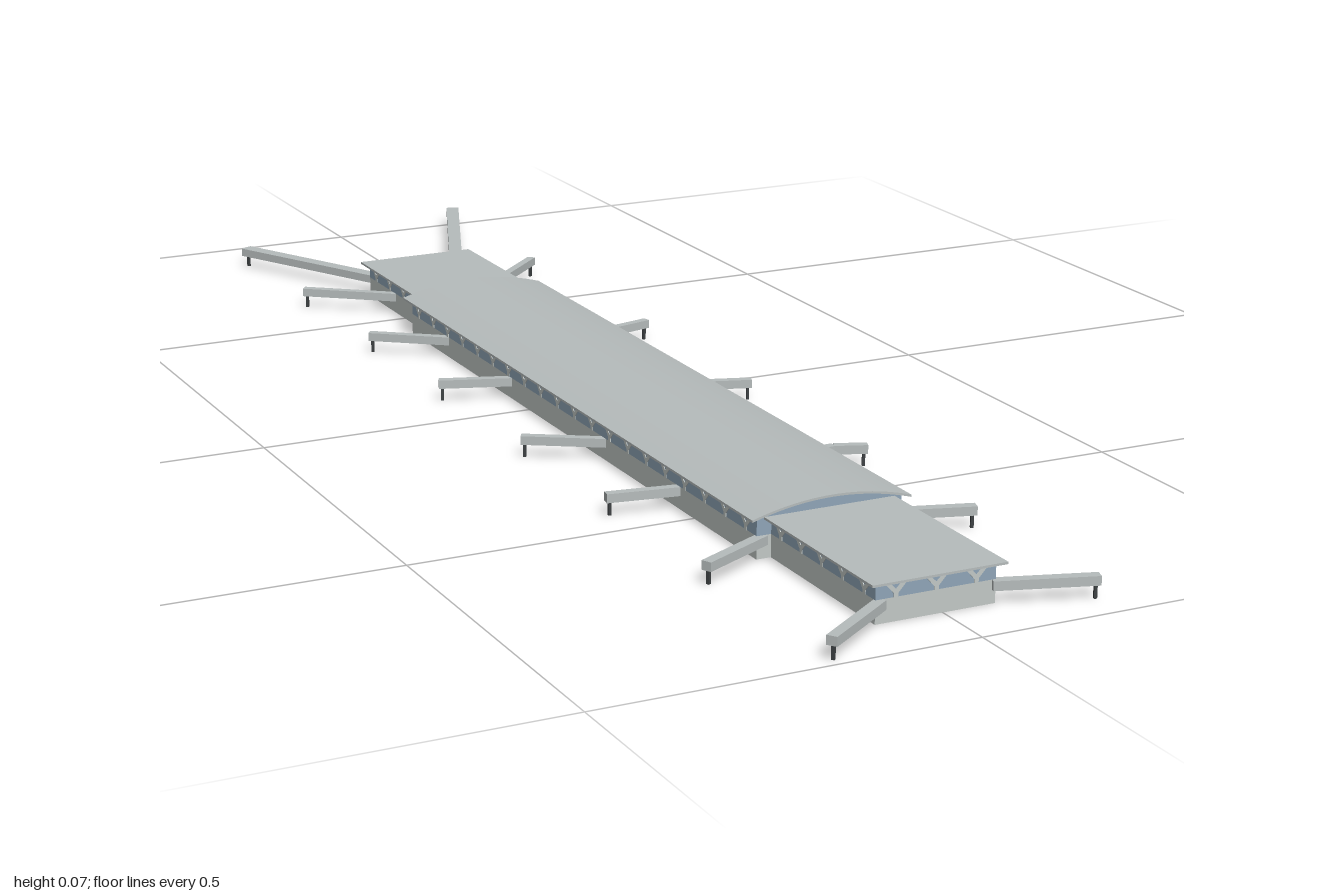
import * as THREE from 'three';

const mat = (name, color) => {
  const m = new THREE.MeshStandardMaterial({ color });
  m.name = name;
  return m;
};

export function createModel() {
  const model = new THREE.Group();
  model.name = 'airportConcourse';
  const roofMat = mat('roofGrey', 0xb6bcbc);
  const wallMat = mat('wallGrey', 0xc2c8c6);
  const glassMat = mat('glassBlue', 0x8fa5b8);
  const legMat = mat('darkSteel', 0x3c4042);

  const CX = -0.01, SILL = 0.03, EAVE = 0.051, T = 0.002;

  const add = (geo, m, name, parent = model) => {
    const mesh = new THREE.Mesh(geo, m);
    mesh.name = name;
    parent.add(mesh);
    return mesh;
  };
  const box = (x0, x1, y0, y1, z0, z1, m, name, parent) =>
    add(new THREE.BoxGeometry(x1 - x0, y1 - y0, z1 - z0)
      .translate((x0 + x1) / 2, (y0 + y1) / 2, (z0 + z1) / 2), m, name, parent);

  // Y-shaped facade strut, standing in the XY plane and centred on x = 0
  const strutShape = new THREE.Shape([
    [-0.003, 0], [0.003, 0], [0.003, 0.005], [0.013, 0.016], [0.013, 0.02], [0.010, 0.02],
    [0, 0.010], [-0.010, 0.02], [-0.013, 0.02], [-0.013, 0.016], [-0.003, 0.005],
  ].map(([x, y]) => new THREE.Vector2(x, y)));
  const strutGeo = new THREE.ExtrudeGeometry(strutShape, { depth: 0.001, bevelEnabled: false });
  const strut = (x, z, angle, parent) => {
    const s = add(strutGeo, wallMat, 'facadeStrut', parent);
    s.position.set(x, SILL, z);
    s.rotation.y = angle;
  };
  const strutRow = (from, to, step, place) => {
    const n = Math.max(1, Math.round((to - from) / step));
    for (let i = 0; i < n; i++) place(from + (i + 0.5) * (to - from) / n);
  };

  // Long walls: solid base with a glass band and struts
  function sideWalls(half, z0, z1, parent) {
    for (const s of [-1, 1]) {
      const a = CX + s * half, b = a - s * T;
      const lo = Math.min(a, b), hi = Math.max(a, b);
      box(lo, hi, 0, SILL, z0, z1, wallMat, 'sideWall', parent);
      box(lo, hi, SILL, EAVE, z0, z1, glassMat, 'sideGlass', parent);
      strutRow(z0, z1, 0.055, z => strut(a, z, s * Math.PI / 2, parent));
    }
  }

  // Barrel roof profile
  const archY = (x, lift) => 0.0675 - 0.0165 * (x / 0.11) ** 2 + lift;
  const arch = (half, lift) => Array.from({ length: 25 }, (_, i) => {
    const x = -half + 2 * half * i / 24;
    return new THREE.Vector2(x, archY(x, lift));
  });

  // Main hall
  const hall = new THREE.Group();
  hall.name = 'mainHall';
  model.add(hall);
  const HZ0 = -0.42, HZ1 = 0.665, HW = 0.101;
  sideWalls(HW, HZ0, HZ1, hall);
  const gable = new THREE.Shape([
    new THREE.Vector2(HW, SILL), ...arch(HW, 0.0005).reverse(), new THREE.Vector2(-HW, SILL),
  ]);
  for (const z of [HZ0, HZ1 - T]) {
    box(CX - HW, CX + HW, 0, SILL, z, z + T, wallMat, 'gableWall', hall);
    add(new THREE.ExtrudeGeometry(gable, { depth: T, bevelEnabled: false }), glassMat, 'gableGlass', hall)
      .position.set(CX, 0, z);
  }
  const roof = new THREE.Shape([...arch(0.111, 0), ...arch(0.111, 0.003).reverse()]);
  add(new THREE.ExtrudeGeometry(roof, { depth: 1.102, bevelEnabled: false }), roofMat, 'barrelRoof', hall)
    .position.set(CX, 0, -0.43);

  // Lower flat-roofed wings at both ends
  function wing(name, z0, z1, dir) {
    const g = new THREE.Group();
    g.name = name;
    model.add(g);
    const W = 0.081, end = dir > 0 ? z1 : z0;
    sideWalls(W, z0, z1, g);
    const e0 = dir > 0 ? end - T : end;
    box(CX - W, CX + W, 0, SILL, e0, e0 + T, wallMat, 'endWall', g);
    box(CX - W, CX + W, SILL, EAVE, e0, e0 + T, glassMat, 'endGlass', g);
    strutRow(CX - W, CX + W, 0.055, x => strut(x, end, dir > 0 ? 0 : Math.PI, g));
    const r0 = dir > 0 ? z0 : z0 - 0.012, r1 = dir > 0 ? z1 + 0.01 : z1;
    box(CX - 0.091, CX + 0.091, 0.050, 0.053, r0, r1, roofMat, 'flatRoof', g);
  }
  wing('frontWing', HZ1, 0.914, 1);
  wing('backWing', -0.64, HZ0, -1);

  // Boarding bridges: [width, x, z, x, z, ...] from the wall outwards
  const bridges = [
    [0.020, -0.07, -0.64, -0.203, -0.897],
    [0.012, -0.088, -0.538, -0.205, -0.628],
    [0.012, -0.108, -0.285, -0.205, -0.358],
    [0.012, -0.108, -0.062, -0.206, -0.095],
    [0.012, -0.108, 0.242, -0.205, 0.182],
    [0.012, -0.108, 0.457, -0.206, 0.442],
    [0.014, -0.10, 0.662, -0.206, 0.716],
    [0.014, -0.083, 0.913, -0.190, 0.988],
    [0.020, 0.055, -0.64, 0.200, -0.995],
    [0.012, 0.070, -0.535, 0.186, -0.643],
    [0.012, 0.088, -0.219, 0.192, -0.243],
    [0.012, 0.088, 0.057, 0.190, 0.090],
    [0.012, 0.088, 0.397, 0.148, 0.397, 0.190, 0.413],
    [0.014, 0.088, 0.650, 0.190, 0.681],
    [0.014, 0.066, 0.914, 0.190, 0.953],
  ];
  for (const [w, ...p] of bridges) {
    const g = new THREE.Group();
    g.name = 'boardingBridge';
    model.add(g);
    for (let i = 0; i + 3 < p.length; i += 2) {
      const dx = p[i + 2] - p[i], dz = p[i + 3] - p[i + 1], len = Math.hypot(dx, dz);
      const part = new THREE.Group();
      part.name = 'bridgeSection';
      part.position.set(p[i], 0, p[i + 1]);
      part.rotation.y = Math.atan2(-dz, dx);
      g.add(part);
      box(0, len, 0.018, 0.030, -w / 2, w / 2, roofMat, 'bridgeTunnel', part);
      box(len - 0.007, len - 0.003, 0, 0.018, -0.002, 0.002, legMat, 'bridgeLeg', part);
    }
  }
  return model;
}
